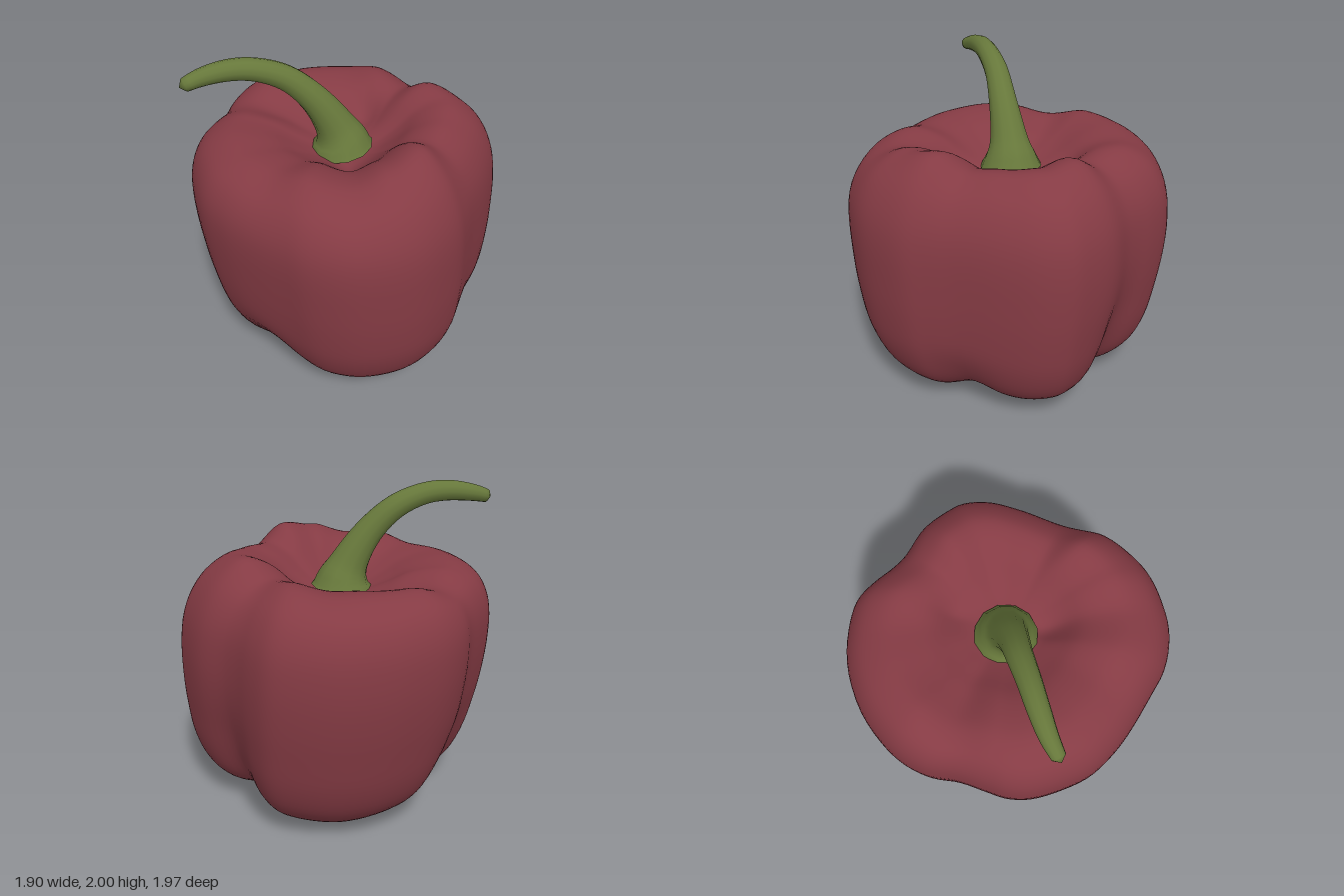
import * as THREE from 'three';
import { mergeVertices } from 'three/addons/utils/BufferGeometryUtils.js';

const V2 = (p) => new THREE.Vector2(p[0], p[1]);
const bump = (d, w) => Math.exp(-(d * d) / (w * w));
const smooth = THREE.MathUtils.smoothstep;

// Outline of the fruit seen from above (x, z), running from +x towards +z
const OUTLINE = [
  [0.95, -0.07], [0.92, 0.1], [0.82, 0.28], [0.65, 0.51], [0.56, 0.65], [0.48, 0.77], [0.34, 0.88], [0.2, 0.95],
  [0.04, 0.98], [-0.19, 0.97], [-0.4, 0.88], [-0.54, 0.75], [-0.73, 0.55], [-0.82, 0.43], [-0.9, 0.28], [-0.935, 0.1],
  [-0.94, -0.1], [-0.9, -0.24], [-0.83, -0.35], [-0.73, -0.5], [-0.66, -0.66], [-0.56, -0.78], [-0.43, -0.87],
  [-0.2, -0.96], [0.09, -0.98], [0.33, -0.92], [0.46, -0.85], [0.55, -0.73], [0.62, -0.6], [0.69, -0.5],
  [0.83, -0.36], [0.92, -0.18],
];
// Profile (scale of the outline, height), from the sunken top centre to the bottom centre
const PROFILE = [
  [0, 1.34], [0.18, 1.36], [0.32, 1.43], [0.45, 1.52], [0.58, 1.57], [0.7, 1.57], [0.83, 1.5], [0.92, 1.4],
  [0.98, 1.26], [1, 1.08], [0.99, 0.85], [0.965, 0.65], [0.925, 0.45], [0.85, 0.27], [0.74, 0.14],
  [0.6, 0.05], [0.45, 0], [0.3, 0.025], [0.15, 0.085], [0, 0.12],
];
// Shoulder height every 20 degrees
const CREST = [1.59, 1.57, 1.55, 1.635, 1.595, 1.53, 1.555, 1.51, 1.52, 1.53, 1.52, 1.48, 1.54, 1.53, 1.52, 1.55, 1.52, 1.61];
// Grooves between the four lobes: direction, depth, and the height where each fades out
const GROOVES = [[38, 0.08, 0.6], [144, 0.1, 0.65], [215, 0.1, 0.8], [325, 0.1, 1]];

function crestAt(deg) {
  const f = deg / 20, i = Math.floor(f), t = f - i, n = CREST.length;
  const k = t * t * (3 - 2 * t);
  return CREST[i % n] * (1 - k) + CREST[(i + 1) % n] * k;
}

function fruitGeometry() {
  const cols = 120, rows = 64;
  const outline = new THREE.CatmullRomCurve3(OUTLINE.map(([x, z]) => new THREE.Vector3(x, 0, z)), true);
  const profile = new THREE.SplineCurve(PROFILE.map(V2));
  const pos = [], index = [];
  for (let j = 0; j <= rows; j++) {
    const p = profile.getPoint(j / rows);
    const s = j === 0 || j === rows ? 0 : Math.max(p.x, 0);
    for (let i = 0; i < cols; i++) {
      const o = outline.getPoint(i / cols);
      const deg = (THREE.MathUtils.radToDeg(Math.atan2(o.z, o.x)) + 360) % 360;
      // Grooves cut deeper towards the base
      let groove = 0;
      for (const [dir, depth, top] of GROOVES) {
        groove += depth * bump(deg - dir, 14) * (1 - smooth(p.y, 0.1, top));
      }
      let r = s * (1 - groove);
      // Back and right shoulders are squarer, with their crest further out
      if (p.y > 1) r += 0.22 * Math.max(0, -o.x - o.z) * s * s * (1 - s);
      let x = o.x * r, y = p.y, z = o.z * r;
      if (p.y > 1) {
        y += (crestAt(deg) - 1.575) * bump(s - 0.64, 0.28) * smooth(p.y, 1.1, 1.45);
        // Creases beside the stem
        y -= 0.06 * bump(Math.hypot(x - 0.18, z + 0.28), 0.11);
        y -= 0.05 * bump(Math.hypot((x + 0.05) * 1.4, z - 0.25), 0.13);
        y -= 0.05 * bump(Math.hypot(x + 0.28, z + 0.4), 0.18);
      } else {
        y += 0.7 * groove * bump(s - 0.55, 0.22);
        // Side lobes end a little higher than the front and back ones
        const lift = o.x > 0 ? 0.05 : 0.07;
        y += lift * Math.abs(o.x) * bump(s - 0.5, 0.3) * (1 - smooth(p.y, 0.1, 0.8));
      }
      // The lower half leans slightly to the front and left
      x -= 0.06 * (p.y - 0.9) * s;
      z += 0.02 * s * (1 - smooth(p.y, 0.45, 1.05));
      pos.push(x, y, z);
      if (j < rows) {
        const a = j * cols + i, b = j * cols + ((i + 1) % cols);
        index.push(a, b, a + cols, b, b + cols, a + cols);
      }
    }
  }
  let geo = new THREE.BufferGeometry();
  geo.setAttribute('position', new THREE.Float32BufferAttribute(pos, 3));
  geo.setIndex(index);
  geo = mergeVertices(geo, 1e-5);
  geo.computeVertexNormals();
  return geo;
}

// Tapering tube: each ring of a unit tube is rescaled about the path
function stemGeometry() {
  const path = new THREE.CatmullRomCurve3([
    [-0.045, 1.36, -0.02], [-0.055, 1.43, -0.02], [-0.105, 1.55, -0.02], [-0.215, 1.715, -0.02], [-0.36, 1.85, -0.025],
    [-0.52, 1.92, -0.02], [-0.66, 1.938, -0.015], [-0.82, 1.92, 0], [-0.95, 1.885, 0.03],
  ].map((p) => new THREE.Vector3(...p)));
  const radii = new THREE.SplineCurve([
    [0, 0.19], [0.06, 0.155], [0.13, 0.12], [0.25, 0.097], [0.4, 0.08], [0.6, 0.068],
    [0.78, 0.06], [0.9, 0.05], [1, 0.036],
  ].map(V2));
  // Bisection for the radius at a fraction of the stem's length
  const radiusAt = (t) => {
    let a = 0, b = 1;
    for (let k = 0; k < 20; k++) {
      const m = (a + b) / 2;
      if (radii.getPoint(m).x < t) a = m; else b = m;
    }
    return radii.getPoint(a).y;
  };
  const rings = 40, sides = 12;
  let geo = new THREE.TubeGeometry(path, rings, 1, sides, false);
  const pos = geo.attributes.position, nor = geo.attributes.normal;
  const n = new THREE.Vector3();
  for (let i = 0; i < pos.count; i++) {
    const ring = Math.floor(i / (sides + 1));
    const c = path.getPointAt(ring / rings);
    const r = ring === rings ? 0 : radiusAt(ring / rings);
    c.addScaledVector(n.fromBufferAttribute(nor, i), r);
    pos.setXYZ(i, c.x, c.y, c.z);
  }
  geo.deleteAttribute('uv');
  geo.deleteAttribute('normal');
  geo = mergeVertices(geo, 1e-5);
  geo.computeVertexNormals();
  return geo;
}

export function createModel() {
  const group = new THREE.Group();
  group.name = 'bellPepper';
  const add = (name, geometry, color) => {
    const mesh = new THREE.Mesh(geometry, new THREE.MeshStandardMaterial({ color }));
    mesh.name = name;
    group.add(mesh);
  };
  add('fruit', fruitGeometry(), 0x853b44);
  add('stem', stemGeometry(), 0x67783b);
  return group;
}
